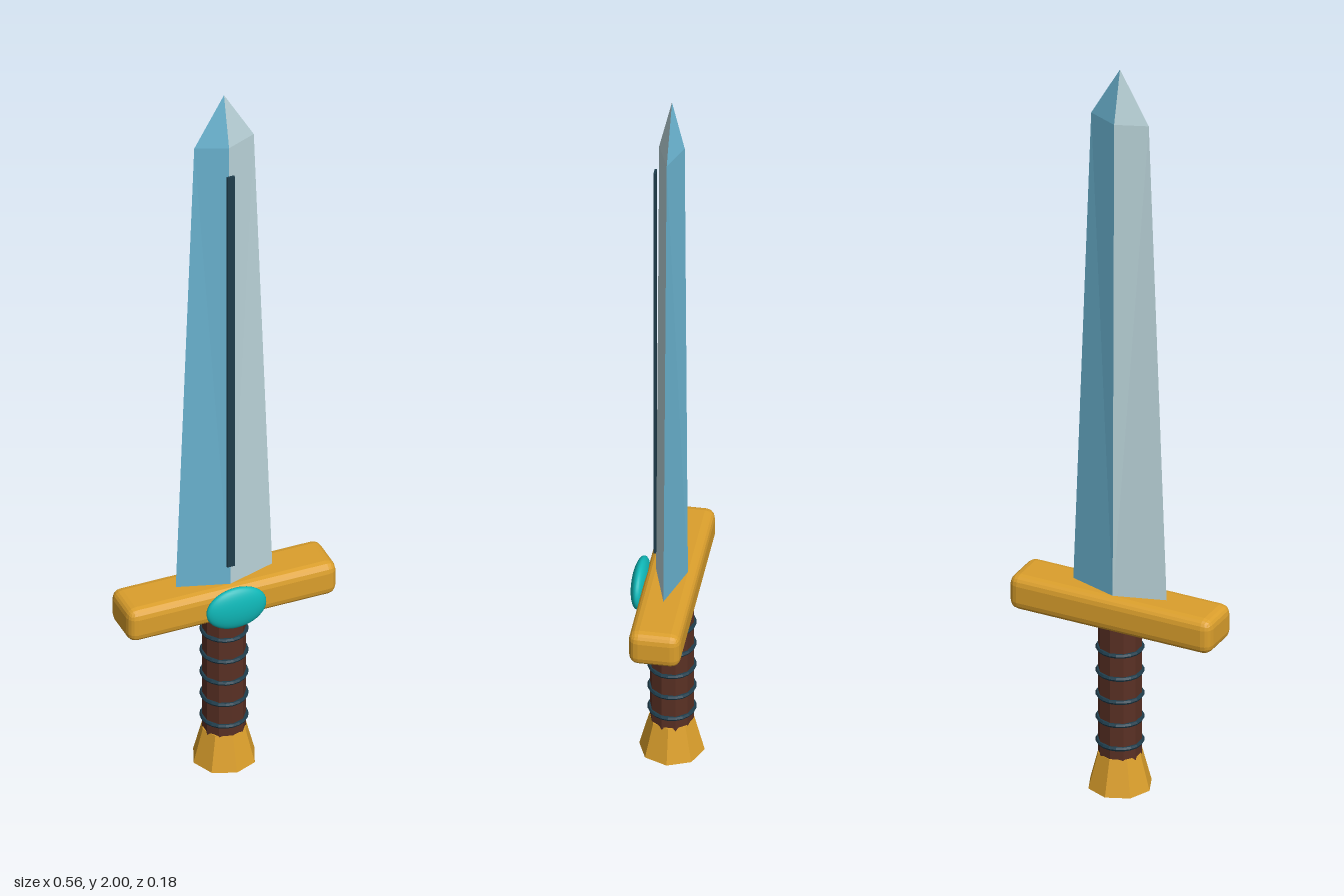
import * as THREE from 'three';
import { RoundedBoxGeometry } from 'three/addons/geometries/RoundedBoxGeometry.js';

const mat = (color, flatShading = true) => new THREE.MeshStandardMaterial({ color, flatShading });

export function createModel() {
  const model = new THREE.Group();
  const gold = mat(0xdb9f2c), leather = mat(0x5a3024), navy = mat(0x1f3d4c);
  const pale = mat(0xb9d2d8), blue = mat(0x6ab3d0);
  const axisZ = -0.01;

  const add = (name, geometry, material, y, z = axisZ, parent = model) => {
    const mesh = new THREE.Mesh(geometry, material);
    mesh.name = name;
    mesh.position.set(0, y, z);
    parent.add(mesh);
    return mesh;
  };

  // Blade: four bevels, each a long panel plus a tip facet
  const bevel = (sx, sz) => {
    const edge = (x, y) => [sx * x, y, 0];
    const ridge = (z, y) => [0, y, sz * z];
    const r0 = ridge(0.04, 0.53), e0 = edge(0.13, 0.53);
    const r1 = ridge(0.032, 1.86), e1 = edge(0.08, 1.86);
    const tip = [0, 2, 0];
    const tris = [[r0, e0, e1], [r0, e1, r1], [r1, e1, tip]];
    if (sx * sz < 0) tris.forEach((t) => t.reverse());
    const g = new THREE.BufferGeometry();
    g.setAttribute('position', new THREE.Float32BufferAttribute(tris.flat(2), 3));
    g.computeVertexNormals();
    return g;
  };
  const blade = new THREE.Group();
  blade.name = 'blade';
  model.add(blade);
  for (const sx of [-1, 1]) {
    for (const sz of [-1, 1]) {
      add('bladeBevel', bevel(sx, sz), sx * sz > 0 ? pale : blue, 0, axisZ, blade);
    }
  }

  // Dark strip along the front ridge
  add('bladeStrip', new THREE.BoxGeometry(0.02, 1.18, 0.006), navy, 1.19, 0.032);

  // Crossguard with chamfered edges and a gem on the front
  add('crossguard', new RoundedBoxGeometry(0.56, 0.095, 0.13, 2, 0.025), gold, 0.4975);
  const gem = add('gem', new THREE.SphereGeometry(1, 32, 20), mat(0x0fb8b8, false), 0.498, 0.068);
  gem.scale.set(0.08, 0.059, 0.022);

  // Grip with wrapped rings
  add('grip', new THREE.CylinderGeometry(0.055, 0.055, 0.38, 10), leather, 0.27);
  for (let i = 0; i < 5; i++) {
    const ring = add('gripRing', new THREE.TorusGeometry(0.055, 0.006, 6, 20), navy, 0.126 + i * 0.065);
    ring.rotation.x = Math.PI / 2;
  }

  // Flared octagonal pommel
  add('pommel', new THREE.CylinderGeometry(0.057, 0.082, 0.095, 8), gold, 0.0475);

  return model;
}
